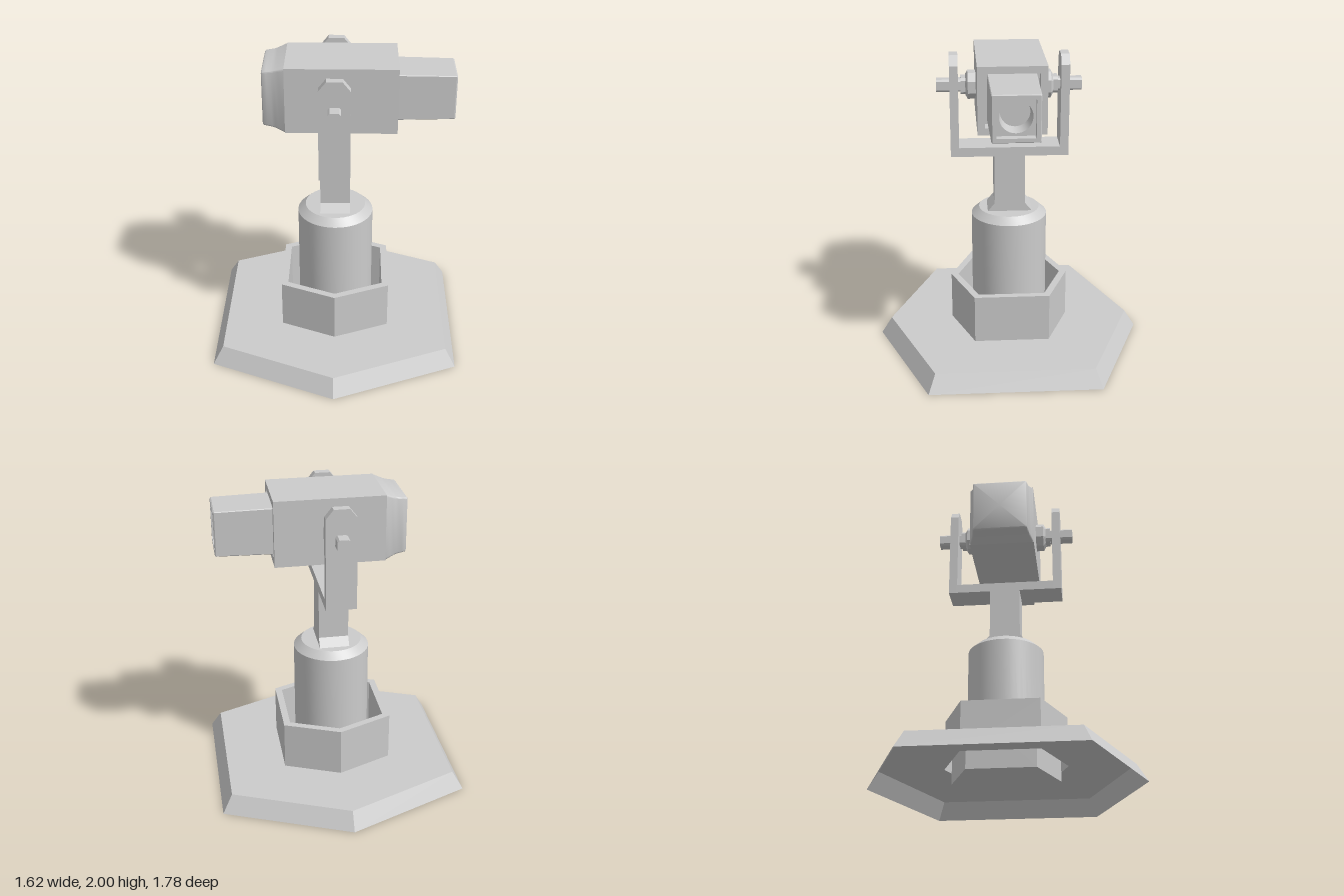
import * as THREE from 'three';
import { toCreasedNormals } from 'three/addons/utils/BufferGeometryUtils.js';

const PIVOT_Y = 1.787;

// Outlines are [x, z] pairs, ordered so that a rising profile faces outwards
const HEX = [[0, 0.89], [0.81, 0.555], [0.81, -0.555], [0, -0.89], [-0.81, -0.555], [-0.81, 0.555]];

// Square of half-width 1 whose corners are cut by an arc of radius r in n steps
function square(r = 0, n = 0) {
  const pts = [];
  [[1, 1], [1, -1], [-1, -1], [-1, 1]].forEach(([sx, sz], k) => {
    for (let i = 0; i <= n; i++) {
      const a = (k + (n ? i / n : 0)) * Math.PI / 2;
      pts.push([sx * (1 - r) + Math.sin(a) * r, sz * (1 - r) + Math.cos(a) * r]);
    }
  });
  return pts;
}

// Sweeps an outline up the y axis through [scale, height] steps
function loft(outline, profile) {
  const pos = [];
  const n = outline.length;
  const at = (i, [s, y]) => [outline[i % n][0] * s, y, outline[i % n][1] * s];
  for (let k = 0; k < profile.length - 1; k++) {
    const p = profile[k], q = profile[k + 1];
    for (let i = 0; i < n; i++) {
      if (p[0] > 0) pos.push(...at(i, p), ...at(i + 1, p), ...at(i + 1, q));
      if (q[0] > 0) pos.push(...at(i, p), ...at(i + 1, q), ...at(i, q));
    }
  }
  const g = new THREE.BufferGeometry();
  g.setAttribute('position', new THREE.Float32BufferAttribute(pos, 3));
  g.computeVertexNormals();
  return g;
}

// Extrudes an outline, centred on its depth
function slab(points, depth) {
  const shape = new THREE.Shape(points.map(([x, y]) => new THREE.Vector2(x, y)));
  return new THREE.ExtrudeGeometry(shape, { depth, bevelEnabled: false }).translate(0, 0, -depth / 2);
}

const lathe = (pts, n) => new THREE.LatheGeometry(pts.map(([x, y]) => new THREE.Vector2(x, y)), n);

export function createModel() {
  const model = new THREE.Group();
  const material = new THREE.MeshStandardMaterial({ color: 0xcccccc });
  const sheet = new THREE.MeshStandardMaterial({ color: 0xcccccc, side: THREE.DoubleSide });
  const add = (name, geometry, parent = model, mat = material) => {
    const mesh = new THREE.Mesh(geometry, mat);
    mesh.name = name;
    parent.add(mesh);
  };

  // Hollow bevelled foot, open underneath
  add('basePlate', loft(HEX, [[1, 0], [0.92, 0.115], [0.444, 0.115]]), model, sheet);

  // Hexagonal socket whose inner cup hangs down inside the foot
  add('collar', loft(HEX, [[0.444, 0.115], [0.444, 0.44], [0.39, 0.44], [0.39, 0.015], [0, 0.015]]), model, sheet);

  // Round column with a chamfered top
  add('column', toCreasedNormals(
    lathe([[0, 0.02], [0.25, 0.02], [0.25, 0.9], [0.2, 0.945], [0, 0.945]], 40), 0.5));

  // Square post, flared at its foot, and the yoke crossbar
  add('post', slab([[-0.145, 0.945], [0.145, 0.945], [0.1, 1.0], [0.1, 1.34], [-0.1, 1.34], [-0.1, 1.0]], 0.196)
    .rotateY(Math.PI / 2));
  add('yokeCrossbar', new THREE.BoxGeometry(0.196, 0.06, 0.66).translate(0, 1.36, 0));

  // Yoke arms and their pivot bolts
  const armOutline = [[-0.098, 1.33], [0.098, 1.33], [0.098, 1.93], [0.05, 1.99], [-0.05, 1.99], [-0.098, 1.93]];
  for (const [side, sign] of [['front', 1], ['back', -1]]) {
    add(side + 'YokeArm', slab(armOutline, 0.055).translate(0, 0, sign * 0.3535));
    const bolt = new THREE.Group();
    bolt.name = side + 'PivotBolt';
    bolt.position.y = PIVOT_Y;
    bolt.rotation.x = sign * Math.PI / 2;
    model.add(bolt);
    const chamfered = square(0.3, 1);
    add('pin', loft(chamfered, [[0, 0.2], [0.04, 0.2], [0.04, 0.465], [0, 0.465]]), bolt);
    add('washer', loft(chamfered, [[0, 0.27], [0.053, 0.27], [0.053, 0.31], [0, 0.31]]), bolt);
    add('nut', loft(square(0.55, 1), [[0, 0.21], [0.085, 0.21], [0.085, 0.265], [0.06, 0.28], [0, 0.28]]), bolt);
  }

  // Head, built along y and laid over so that it points to +x
  const head = new THREE.Group();
  head.name = 'head';
  head.position.y = PIVOT_Y;
  head.rotation.z = -Math.PI / 2;
  model.add(head);

  // Housing with a square socket for the barrel
  add('housing', loft(square(),
    [[0, -0.31], [0.2145, -0.31], [0.2145, 0.39], [0.17, 0.39], [0.17, 0.3], [0, 0.3]]), head);

  // Softly flared rear cap
  add('rearCap', toCreasedNormals(loft(square(0.06, 3),
    [[0, -0.451], [0.174, -0.45], [0.18, -0.444], [0.184, -0.42], [0.188, -0.39], [0.193, -0.37],
      [0.202, -0.345], [0.2145, -0.31]]), 0.7), head);

  // Tapered barrel with a recessed mouth
  add('barrel', loft(square(0.03, 1),
    [[0.152, 0.3], [0.151, 0.39], [0.145, 0.742], [0.14, 0.75], [0.116, 0.75], [0.116, 0.7]]), head);

  // Plate with a round opening and the slightly tapered bore behind it
  const plate = new THREE.Shape(square().map(([x, y]) => new THREE.Vector2(x * 0.116, y * 0.116)));
  plate.holes.push(new THREE.Path().absarc(0, 0, 0.1, 0, Math.PI * 2, true));
  add('mouthPlate', new THREE.ShapeGeometry(plate, 16).rotateX(-Math.PI / 2).translate(0, 0.7, 0), head);
  add('bore', toCreasedNormals(lathe([[0.1, 0.7], [0.09, 0.6], [0, 0.6]], 32), 0.6), head);

  return model;
}
